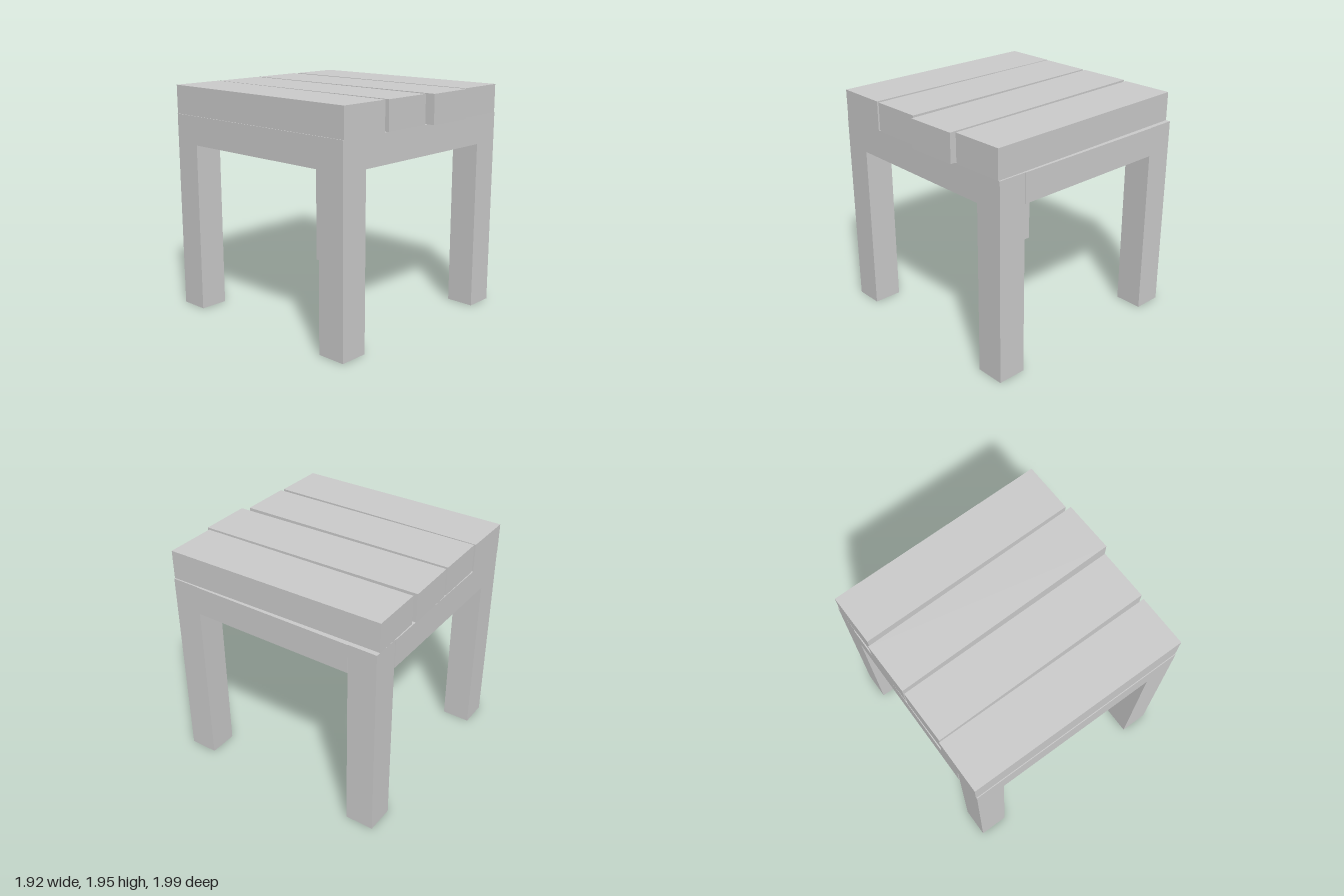
import * as THREE from 'three';

const material = new THREE.MeshStandardMaterial({ color: 0xcccccc, flatShading: true });

// Box given by its size and centre, optionally turned about the vertical
function beam(name, size, centre, turn = 0) {
  const mesh = new THREE.Mesh(new THREE.BoxGeometry(...size), material);
  mesh.name = name;
  mesh.position.set(...centre);
  mesh.rotation.y = turn;
  return mesh;
}

export function createModel() {
  const model = new THREE.Group();
  model.name = 'stool';
  const thick = 0.247, legTop = 1.705;
  const legX = 0.837, legZ = { front: 0.816, back: -0.866 };
  const midZ = (legZ.front + legZ.back) / 2;

  // Four square legs
  for (const [end, z] of Object.entries(legZ)) {
    for (const [side, x] of [['Left', legX - 0.004], ['Right', -legX - 0.004]]) {
      model.add(beam(`${end}${side}Leg`, [thick, legTop, thick], [x, legTop / 2, z]));
    }
  }

  // Rails between the legs
  const railX = 2 * legX - thick, railZ = legZ.front - legZ.back - thick;
  const railY = legTop - thick / 2;
  model.add(
    beam('frontRail', [railX, thick, thick], [-0.004, railY, legZ.front]),
    beam('backRail', [railX, thick, thick], [-0.004, railY, legZ.back - 0.005]),
    beam('leftRail', [thick, thick, railZ], [legX, railY, midZ]),
    beam('rightRail', [thick, thick, railZ], [-legX - 0.004, railY, midZ]),
  );

  // Seat planks, slightly askew: centre x, centre z, length, turn
  const planks = [
    [-0.733, -0.027, 1.935, 0],
    [-0.261, -0.021, 1.934, 0.0118],
    [0.224, -0.003, 1.985, 0.0215],
    [0.705, -0.02, 1.934, 0.0155],
  ];
  planks.forEach(([x, z, length, turn], i) => {
    model.add(beam(`seatPlank${i + 1}`, [0.45, 0.245, length], [x, legTop + 0.1225, z], turn));
  });

  return model;
}
